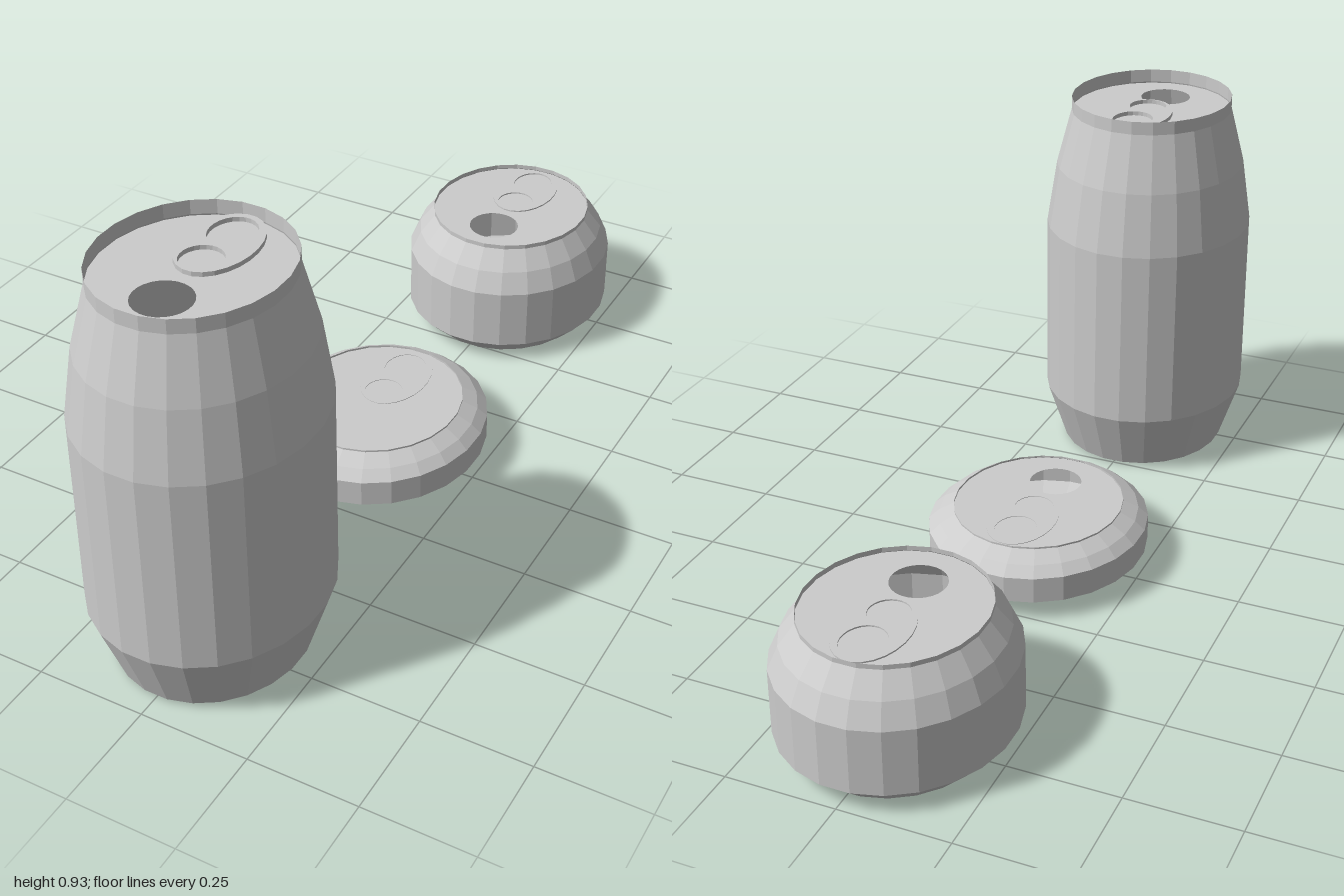
import * as THREE from 'three';

const SEGMENTS = 24;
const DEPTH = 1.099; // the cans are slightly oval: deeper than wide
const OFFSET = Math.PI / SEGMENTS;
const FULL = 1 / Math.cos(OFFSET); // corner radius for a given half width
const LID_Y = 0.887;

// radius, height of the can wall
const PROFILE = [
  [0, 0], [0.205, 0], [0.253, 0.147], [0.253, 0.597],
  [0.23, 0.752], [0.195, 0.89], [0.195, 0.922],
].map(([r, y]) => new THREE.Vector2(r * FULL, y));

function ellipse(Type, y, rx, ry, sides = 24) {
  const points = [];
  for (let i = 0; i < sides; i++) {
    const a = (i + 0.5) / sides * Math.PI * 2;
    points.push(new THREE.Vector2(rx * Math.cos(a), y + ry * Math.sin(a)));
  }
  return new Type(points);
}

function createCan(name, material) {
  const can = new THREE.Group();
  can.name = name;
  const add = (part, geometry) => {
    const mesh = new THREE.Mesh(geometry, material);
    mesh.name = part;
    can.add(mesh);
  };

  // wall, base and open rim
  const body = new THREE.LatheGeometry(PROFILE, SEGMENTS, OFFSET);
  body.scale(1, 1, DEPTH);
  add('body', body);

  // recessed lid with the drinking hole
  const lidShape = ellipse(THREE.Shape, 0, 0.195 * FULL, 0.195 * FULL * DEPTH, SEGMENTS);
  lidShape.holes.push(ellipse(THREE.Path, -0.103, 0.062, 0.062));
  const lid = new THREE.ShapeGeometry(lidShape);
  lid.rotateX(-Math.PI / 2).translate(0, LID_Y, 0);
  add('lid', lid);

  // pull tab with two finger holes
  const tabShape = ellipse(THREE.Shape, 0.092, 0.077, 0.115);
  tabShape.holes.push(
    ellipse(THREE.Path, 0.137, 0.048, 0.057),
    ellipse(THREE.Path, 0.028, 0.045, 0.047),
  );
  const tab = new THREE.ExtrudeGeometry(tabShape, { depth: 0.01, bevelEnabled: false });
  tab.rotateX(-Math.PI / 2).translate(0, LID_Y + 0.006, 0);
  add('pullTab', tab);
  return can;
}

export function createModel() {
  const model = new THREE.Group();
  model.name = 'drinkCans';
  const metal = new THREE.MeshStandardMaterial({
    color: 0xcccccc, flatShading: true, side: THREE.DoubleSide,
  });
  metal.name = 'greyMetal';

  // name, base height, squash, z position
  const cans = [
    ['tallCan', 0.008, 1, 0.722],
    ['flattenedCan', 0.028, 0.136, 0.005],
    ['crushedCan', 0, 0.335, -0.722],
  ];
  for (const [name, y, squash, z] of cans) {
    const can = createCan(name, metal);
    can.scale.y = squash;
    can.position.set(0, y, z);
    model.add(can);
  }
  return model;
}
